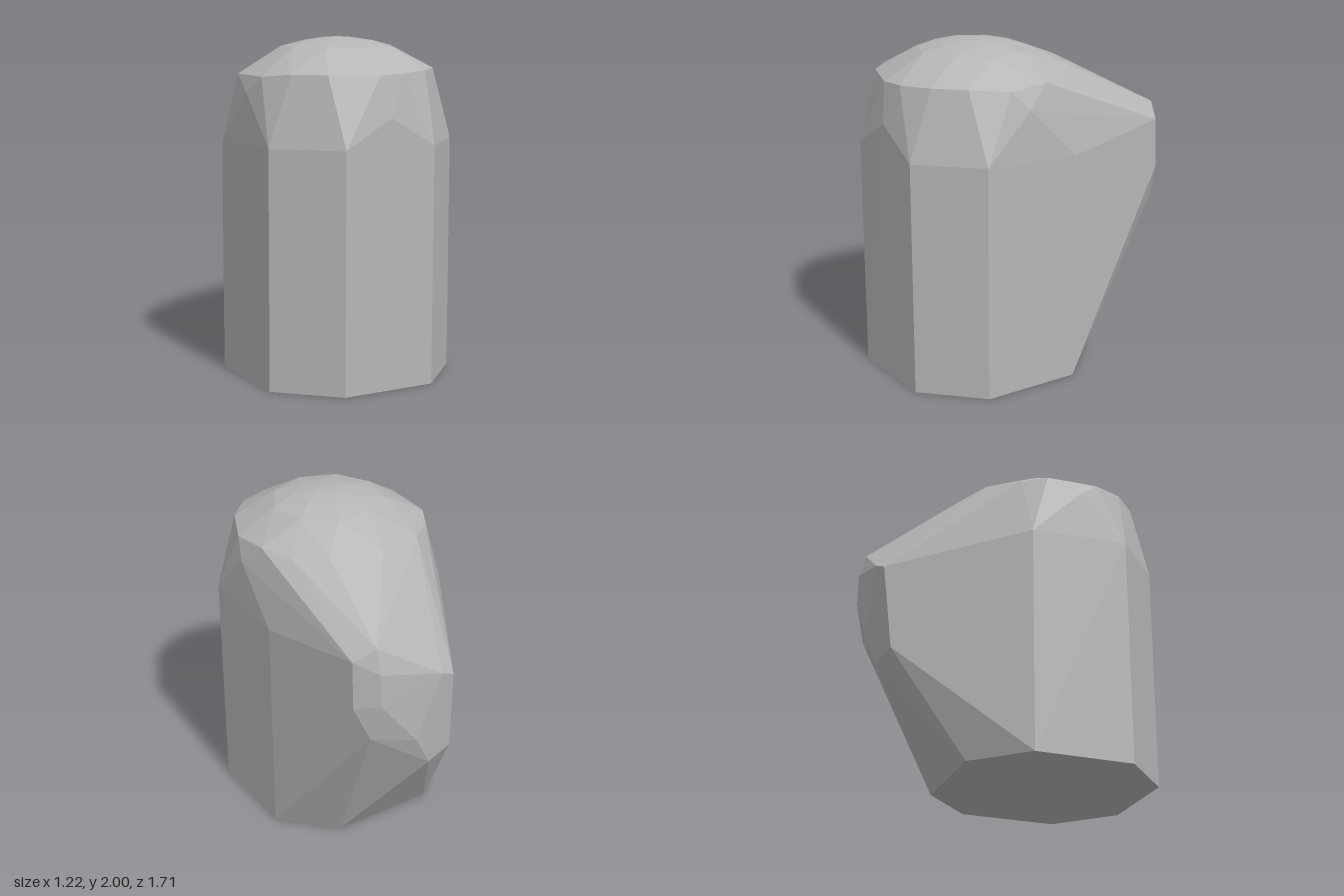
import * as THREE from 'three';
import { ConvexGeometry } from 'three/addons/geometries/ConvexGeometry.js';

export function createModel() {
  const stone = new THREE.MeshStandardMaterial({ color: 0xb6b6b6 });
  const points = [];
  const add = (x, y, z) => points.push(new THREE.Vector3(x, y, z));
  const pair = (x, y, z) => { add(x, y, z); add(-x, y, z); };

  // Octagonal foot
  pair(0.29, 0, 0.85);
  pair(0.61, 0, 0.54);
  pair(0.61, 0, -0.06);
  pair(0.32, 0, -0.36);

  // Top of the upright walls
  pair(0.29, 1.4, 0.855);
  pair(0.61, 1.4, 0.54);
  pair(0.61, 1.38, -0.06);

  // Rounded shoulder
  add(0, 1.57, 0.858);
  pair(0.6, 1.69, 0.25);

  // Rim of the dome: x, y, z
  [
    [-0.56, 1.79, 0.06], [-0.57, 1.79, 0.38], [-0.48, 1.81, 0.57], [-0.33, 1.81, 0.72],
    [-0.05, 1.805, 0.815], [0.11, 1.81, 0.805], [0.31, 1.82, 0.72], [0.46, 1.82, 0.57],
    [0.56, 1.8, 0.35], [0.545, 1.82, 0.11], [0.46, 1.81, -0.08], [0.3, 1.84, -0.22],
    [0, 1.84, -0.33], [-0.3, 1.81, -0.24], [-0.48, 1.78, -0.08],
  ].forEach((p) => add(...p));

  // Shallow dome rings: radius, height, number of corners, turn
  [[0.335, 1.945, 9, 0.2], [0.2, 1.98, 7, 0.5], [0.07, 1.999, 5, 0]].forEach(([r, y, n, turn]) => {
    for (let i = 0; i < n; i++) {
      const a = turn + (i / n) * Math.PI * 2;
      add(r * Math.cos(a), y, 0.25 + r * Math.sin(a));
    }
  });
  add(0, 2, 0.25);

  // Lopsided rear bulge: x, y, z
  [
    [0.37, 1.55, -0.81], [0.49, 1.47, -0.75], [0.49, 1.17, -0.76], [0.4, 0.96, -0.8],
    [0.37, 1.4, -0.852], [0.37, 1.2, -0.855], [0.12, 0.88, -0.855], [-0.05, 1.27, -0.855],
    [-0.15, 1.22, -0.83], [-0.18, 0.69, -0.78], [0, 0.66, -0.82],
  ].forEach((p) => add(...p));

  // One faceted solid wraps all the corners
  const boulder = new THREE.Mesh(new ConvexGeometry(points), stone);
  boulder.name = 'facetedBody';

  const group = new THREE.Group();
  group.name = 'facetedBlock';
  group.add(boulder);
  return group;
}
